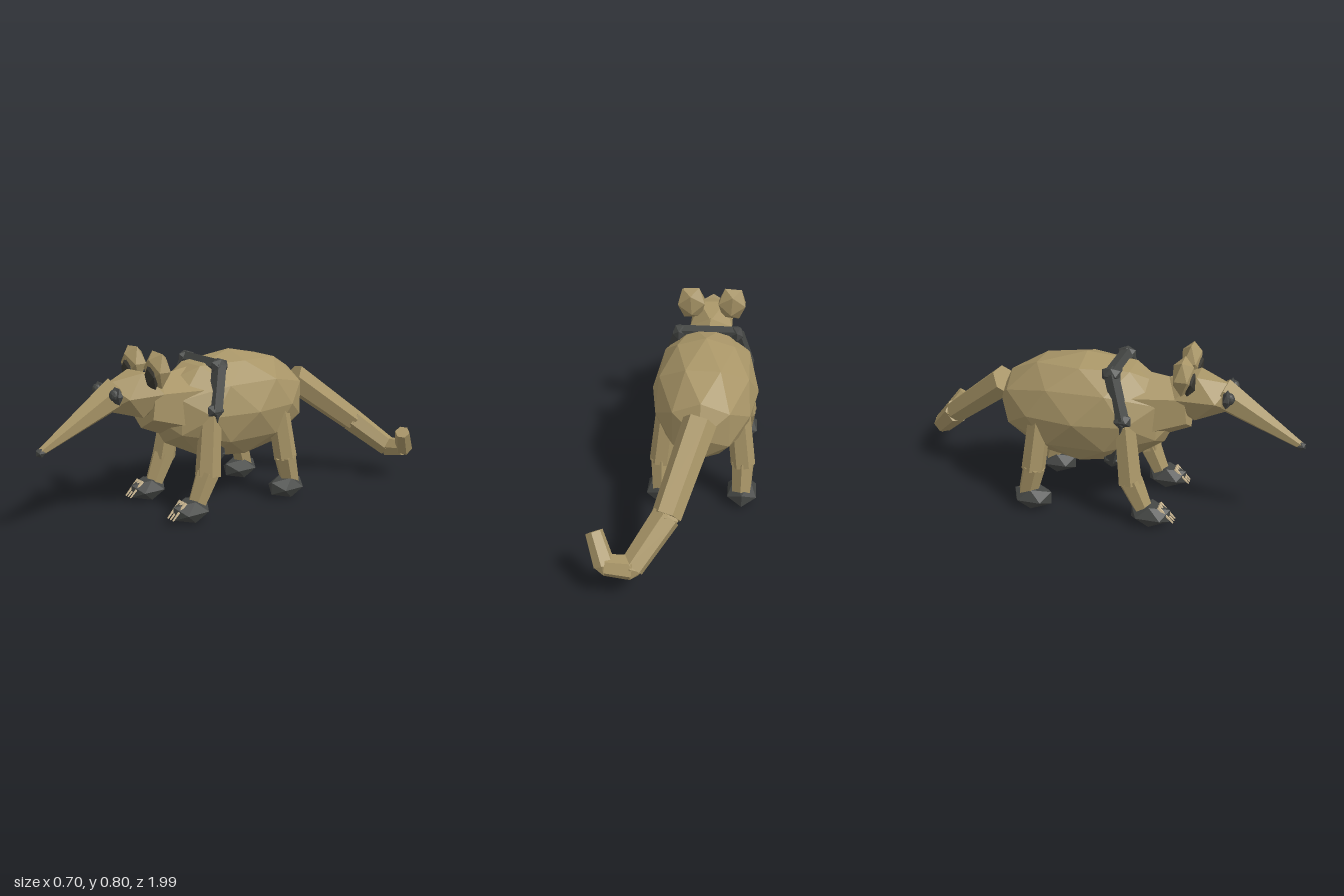
import * as THREE from 'three';

const mat = (name, color) => {
  const m = new THREE.MeshStandardMaterial({ color, flatShading: true });
  m.name = name;
  return m;
};

export function createModel() {
  const fur = mat('tanFur', 0xa89567);
  const dark = mat('charcoal', 0x444644);
  const inner = mat('innerEar', 0x38362f);
  const cream = mat('clawCream', 0xcdb993);

  const model = new THREE.Group();
  model.name = 'anteater';
  // The animal's own midline sits left of centre because the tail curls sideways
  const animal = new THREE.Group();
  animal.name = 'animal';
  animal.position.x = -0.0875;
  model.add(animal);

  // Faceted ellipsoid
  const blob = (name, material, pos, radii, detail = 0) => {
    const mesh = new THREE.Mesh(new THREE.IcosahedronGeometry(1, detail).scale(...radii), material);
    mesh.name = name;
    mesh.position.set(...pos);
    animal.add(mesh);
    return mesh;
  };

  // Tapered prism between two points
  const limb = (name, material, a, b, ra, rb, sides = 6) => {
    const from = new THREE.Vector3(...a), to = new THREE.Vector3(...b);
    const dir = to.clone().sub(from);
    const mesh = new THREE.Mesh(new THREE.CylinderGeometry(rb, ra, dir.length(), sides), material);
    mesh.name = name;
    mesh.position.copy(from).add(to).multiplyScalar(0.5);
    mesh.quaternion.setFromUnitVectors(new THREE.Vector3(0, 1, 0), dir.normalize());
    animal.add(mesh);
    return mesh;
  };

  // Trunk, neck and head
  blob('body', fur, [0, 0.482, -0.03], [0.256, 0.273, 0.448], 1);
  limb('neck', fur, [0, 0.51, 0.2], [0, 0.545, 0.46], 0.19, 0.115);
  blob('head', fur, [0, 0.6, 0.5], [0.128, 0.122, 0.175]);
  limb('snout', fur, [0, 0.62, 0.6], [0, 0.405, 0.975], 0.078, 0.018);
  blob('nose', dark, [0, 0.402, 0.977], [0.023, 0.023, 0.025]);

  // Dark shoulder harness: a six-cornered ring partly sunk into the body
  const ring = [
    [0.14, 0.705, 0.125], [0.198, 0.51, 0.19], [0.125, 0.275, 0.13],
    [-0.125, 0.275, 0.13], [-0.198, 0.51, 0.19], [-0.14, 0.705, 0.125],
  ];
  ring.forEach((p, i) => {
    limb('shoulderBand', dark, p, ring[(i + 1) % 6], 0.036, 0.036, 5);
    blob('bandCorner', dark, p, [0.035, 0.042, 0.05]);
  });

  for (const s of [-1, 1]) {
    const side = s > 0 ? 'left' : 'right';

    // Ears
    const ear = blob(side + 'Ear', fur, [s * 0.105, 0.72, 0.445], [0.082, 0.094, 0.054]);
    ear.rotation.z = s * -0.06;
    blob(side + 'InnerEar', inner, [s * 0.105, 0.695, 0.47], [0.047, 0.07, 0.035]);

    // Eye patch and eyeball
    blob(side + 'EyePatch', dark, [s * 0.08, 0.62, 0.64], [0.042, 0.044, 0.022], 0);
    blob(side + 'Eye', dark, [s * 0.08, 0.625, 0.652], [0.026, 0.028, 0.024], 1);

    // Front leg
    limb(side + 'FrontUpperLeg', fur, [s * 0.165, 0.5, 0.195], [s * 0.195, 0.2, 0.235], 0.052, 0.062);
    limb(side + 'FrontLowerLeg', fur, [s * 0.195, 0.215, 0.235], [s * 0.193, 0.06, 0.305], 0.06, 0.044);
    blob(side + 'FrontFoot', dark, [s * 0.194, 0.051, 0.335], [0.081, 0.06, 0.109]);
    for (const c of [-1, 0, 1]) {
      const x = s * 0.194 + c * 0.022;
      limb(side + 'Claw', cream, [x, 0.1, 0.375], [x, 0.028, 0.448], 0.009, 0.004, 5);
    }

    // Back leg
    limb(side + 'BackUpperLeg', fur, [s * 0.165, 0.46, -0.215], [s * 0.195, 0.2, -0.245], 0.055, 0.058);
    limb(side + 'BackLowerLeg', fur, [s * 0.195, 0.215, -0.24], [s * 0.193, 0.06, -0.28], 0.057, 0.048);
    blob(side + 'BackFoot', dark, [s * 0.194, 0.051, -0.25], [0.081, 0.06, 0.109]);
  }

  // Tail drooping back and curling toward the left at the tip
  const tail = [
    [0, 0.56, -0.45, 0.076], [0.115, 0.3, -0.785, 0.064],
    [0.245, 0.15, -0.94, 0.054], [0.355, 0.165, -0.95, 0.046], [0.405, 0.275, -0.875, 0.038],
  ];
  for (let i = 0; i < 4; i++) {
    const [ax, ay, az, ar] = tail[i], [bx, by, bz, br] = tail[i + 1];
    limb('tailSegment', fur, [ax, ay, az], [bx, by, bz], ar, br);
    if (i) blob('tailJoint', fur, [ax, ay, az], [ar * 0.95, ar * 0.95, ar * 0.95]);
  }

  return model;
}
